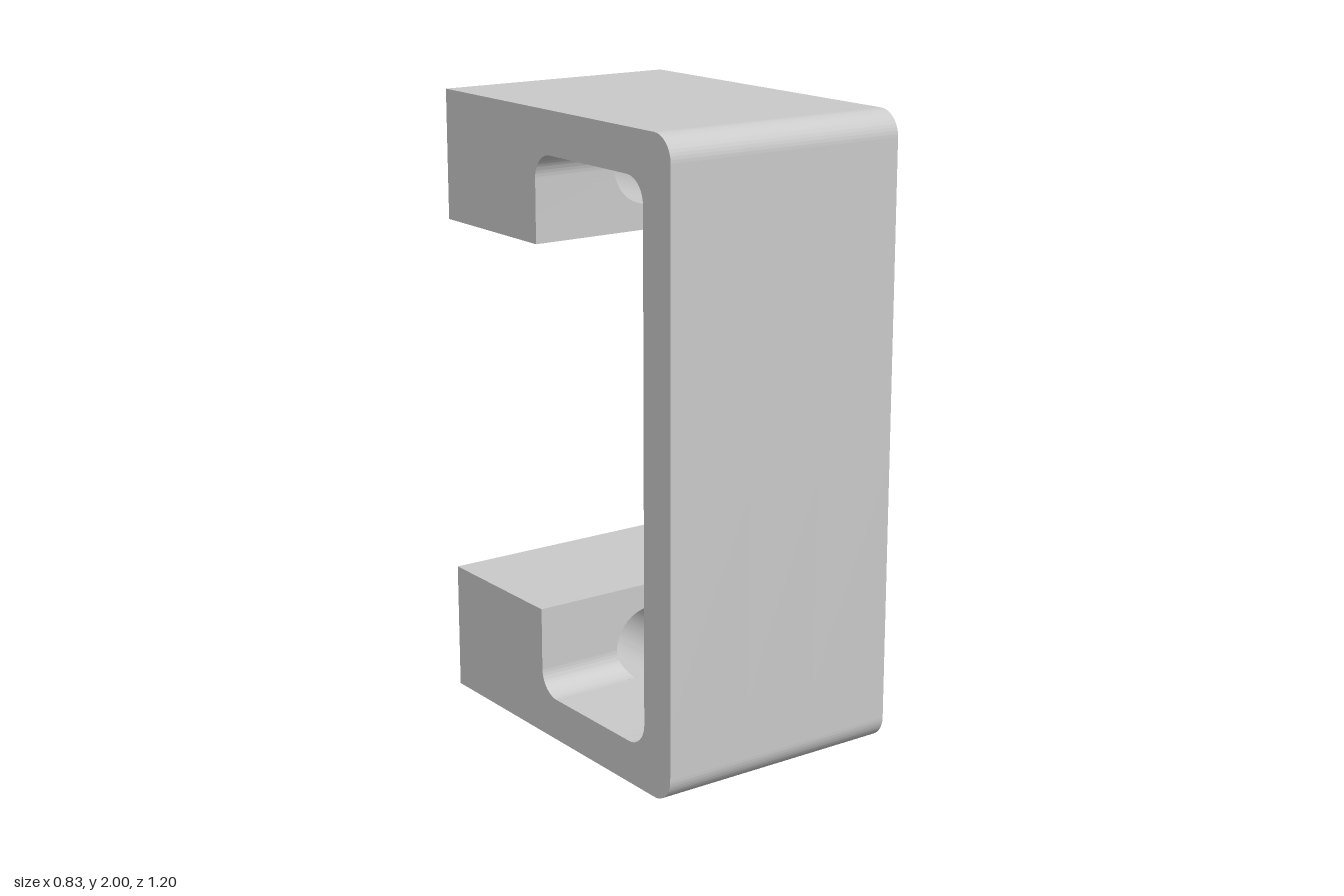
import * as THREE from 'three';
import { toCreasedNormals } from 'three/addons/utils/BufferGeometryUtils.js';

const W = 0.415, HW = 0.13;            // half width of bracket, half width of bored strip
const BACK = -0.6, FRONT = 0.6, JAW = -0.09, WALL = 0.468;
const T = 0.135, H = 0.415, R = 0.08;  // arm thickness, jaw height, corner radius
const HOLE = 0.127, HOLE_Y = H / 2;

// C-shaped side profile (x = depth, y = height), with or without the jaws
function sideProfile(withJaws) {
  const s = new THREE.Shape(), q = Math.PI / 2;
  const end = withJaws ? BACK : JAW + R;
  s.moveTo(end, 0);
  s.lineTo(FRONT - R, 0);
  s.absarc(FRONT - R, R, R, -q, 0, false);
  s.absarc(FRONT - R, 2 - R, R, 0, q, false);
  s.lineTo(end, 2);
  if (withJaws) {
    s.lineTo(BACK, 2 - H);
    s.lineTo(JAW, 2 - H);
    s.absarc(JAW + R, 2 - T - R, R, 2 * q, q, true);
  } else s.lineTo(end, 2 - T);
  s.absarc(WALL - R, 2 - T - R, R, q, 0, true);
  s.absarc(WALL - R, T + R, R, 0, -q, true);
  if (withJaws) {
    s.absarc(JAW + R, T + R, R, -q, -2 * q, true);
    s.lineTo(JAW, H);
    s.lineTo(BACK, H);
  } else s.lineTo(end, T);
  s.closePath();
  return s;
}

// Extrudes a side profile across x from x0 to x1
function across(shape, x0, x1) {
  const g = new THREE.ExtrudeGeometry(shape, { depth: x1 - x0, bevelEnabled: false, curveSegments: 32 });
  g.rotateY(-Math.PI / 2).translate(x1, 0, 0);
  return toCreasedNormals(g, 0.6);
}

// Middle of a jaw with its round bore
function boredJaw() {
  const s = new THREE.Shape();
  s.moveTo(-HW, 0).lineTo(HW, 0).lineTo(HW, H).lineTo(-HW, H).closePath();
  const hole = new THREE.Path();
  hole.absarc(0, HOLE_Y, HOLE, 0, Math.PI * 2, true);
  s.holes.push(hole);
  const g = new THREE.ExtrudeGeometry(s, { depth: JAW - BACK, bevelEnabled: false, curveSegments: 40 });
  return toCreasedNormals(g.translate(0, 0, BACK), 0.6);
}

// Rounded inner corner where the bore runs out, from cross-sections along z
function boredFillet() {
  const rows = 14, arc = 28, pos = [], idx = [];
  const n = arc + 5;
  for (let i = 0; i <= rows; i++) {
    const a = (i / rows) * Math.PI / 2;
    const z = JAW + R - R * Math.cos(a);
    const h = T + R - R * Math.sin(a);
    const a0 = Math.asin((h - HOLE_Y) / HOLE);
    pos.push(-HW, 0, z, HW, 0, z, HW, h, z);
    for (let k = 0; k <= arc; k++) {
      const t = a0 - (k / arc) * (Math.PI + 2 * a0);
      pos.push(HOLE * Math.cos(t), HOLE_Y + HOLE * Math.sin(t), z);
    }
    pos.push(-HW, h, z);
  }
  for (let i = 0; i < rows; i++) for (let j = 0; j < n; j++) {
    const k = (j + 1) % n, p = i * n, q = p + n;
    idx.push(p + j, p + k, q + j, p + k, q + k, q + j);
  }
  const g = new THREE.BufferGeometry();
  g.setAttribute('position', new THREE.Float32BufferAttribute(pos, 3));
  g.setIndex(idx);
  return toCreasedNormals(g, 0.6);
}

export function createModel() {
  const model = new THREE.Group();
  model.name = 'clampBracket';
  const metal = new THREE.MeshStandardMaterial({ color: 0xcacaca });
  metal.name = 'grey metal';
  const add = (parent, name, geometry) => {
    const m = new THREE.Mesh(geometry, metal);
    m.name = name;
    parent.add(m);
  };

  // Solid outer portions of the bracket
  add(model, 'leftSide', across(sideProfile(true), HW, W));
  add(model, 'rightSide', across(sideProfile(true), -W, -HW));
  // Wall and arms between them
  add(model, 'middleWall', across(sideProfile(false), -HW, HW));

  // Bored jaw centres, the upper one turned over
  for (const upper of [false, true]) {
    const jaw = new THREE.Group();
    jaw.name = upper ? 'upperJaw' : 'lowerJaw';
    add(jaw, 'boredBlock', boredJaw());
    add(jaw, 'boredFillet', boredFillet());
    if (upper) {
      jaw.rotation.z = Math.PI;
      jaw.position.y = 2;
    }
    model.add(jaw);
  }
  return model;
}
